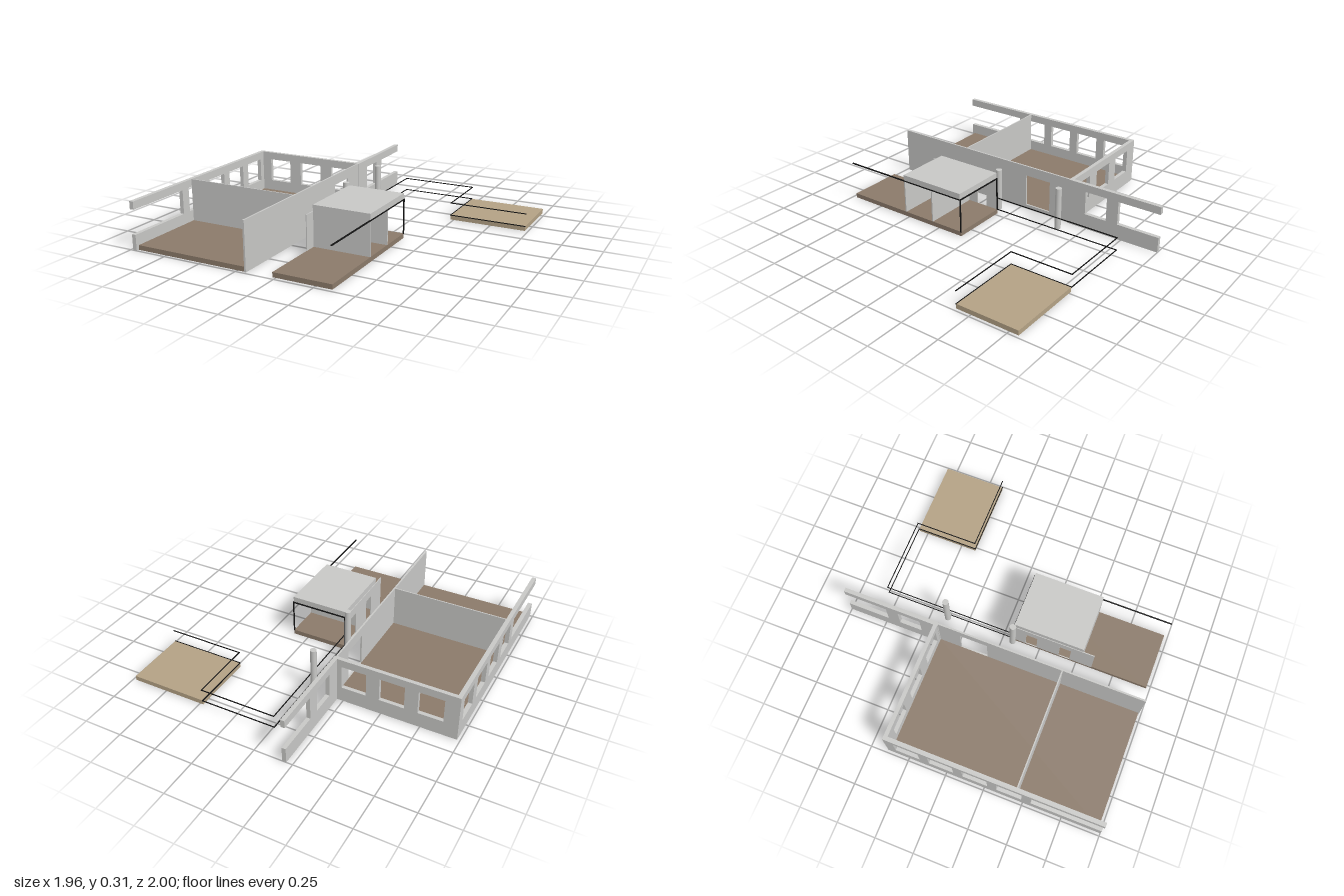
import * as THREE from 'three';

export function createModel() {
  const root = new THREE.Group();
  root.name = 'floorPlanModel';
  const mat = (name, color) => {
    const m = new THREE.MeshStandardMaterial({ color });
    m.name = name;
    return m;
  };
  const wallGrey = mat('wallGrey', 0xc8c8c6);
  const floorBrown = mat('floorBrown', 0x8b7a6a);
  const terraceTan = mat('terraceTan', 0xb4a285);
  const railBlack = mat('railBlack', 0x141414);

  const add = (name, geo, material) => {
    const mesh = new THREE.Mesh(geo, material);
    mesh.name = name;
    root.add(mesh);
    return mesh;
  };

  // Box given by its minimum and maximum corners
  const box = (name, x0, x1, y0, y1, z0, z1, material) => {
    const g = new THREE.BoxGeometry(x1 - x0, y1 - y0, z1 - z0);
    g.translate((x0 + x1) / 2, (y0 + y1) / 2, (z0 + z1) / 2);
    return add(name, g, material);
  };

  // Wall panel: outline [u, y], rectangular holes [u0, u1, y0, y1], thickness t
  const panel = (outline, holes, t) => {
    const shape = new THREE.Shape(outline.map(p => new THREE.Vector2(...p)));
    for (const [a, b, c, d] of holes) {
      shape.holes.push(new THREE.Path([[a, c], [a, d], [b, d], [b, c]].map(p => new THREE.Vector2(...p))));
    }
    return new THREE.ExtrudeGeometry(shape, { depth: t, bevelEnabled: false });
  };
  const rect = (a, b, c, d) => [[a, c], [b, c], [b, d], [a, d]];
  const wallAlongX = (name, outline, holes, z0, z1) =>
    add(name, panel(outline, holes, z1 - z0).translate(0, 0, z0), wallGrey);
  const wallAlongZ = (name, outline, holes, x0, x1) =>
    add(name, panel(outline, holes, x1 - x0).rotateY(-Math.PI / 2).translate(x1, 0, 0), wallGrey);

  const H = 0.305, F = 0.03, SILL = 0.1, HEAD = 0.255;

  // Floors and terrace
  box('mainFloor', -0.955, -0.2, 0, F, -0.367, 0.98, floorBrown);
  box('annexFloor', -0.022, 0.352, 0, F, 0.07, 0.975, floorBrown);
  box('terrace', 0.478, 0.98, 0, F, -0.81, -0.4, terraceTan);

  // Outer side wall: four windows, then an open bay between sill and lintel
  const sideWindows = [];
  for (let i = 0; i < 4; i++) {
    const z = -0.33 + i * 0.22;
    sideWindows.push([z, z + 0.16, SILL, HEAD]);
  }
  wallAlongZ('outerSideWall',
    [[-0.392, 0], [1, 0], [1, SILL], [0.55, SILL], [0.55, HEAD], [1, HEAD], [1, H], [-0.392, H]],
    sideWindows, -0.982, -0.955);

  // Back wall with three windows
  wallAlongX('backWall', rect(-0.955, -0.21, 0, H),
    [-0.81, -0.565, -0.32].map(x => [x - 0.08, x + 0.08, SILL, HEAD]), -0.392, -0.367);

  // Extension of the inner wall behind the building, open at its far end
  wallAlongZ('extensionWall',
    [[-0.365, 0], [-0.365, H], [-1, H], [-1, HEAD], [-0.72, HEAD], [-0.72, SILL], [-1, SILL], [-1, 0]],
    [[-0.64, -0.49, SILL, HEAD]], -0.21, -0.184);

  // Inner long wall with doorway, and the room partition
  wallAlongZ('innerSideWall', rect(-0.365, 0.985, 0, H), [[-0.222, -0.04, F, 0.24]], -0.2, -0.189);
  box('roomPartition', -0.955, -0.2, F, H, 0.449, 0.457, wallGrey);

  // Annex: roof, two cross walls, side wall with two doorways
  box('annexRoof', -0.022, 0.352, 0.25, 0.29, 0.075, 0.53, wallGrey);
  box('annexFrontWall', -0.022, 0.352, F, 0.25, 0.522, 0.53, wallGrey);
  box('annexCrossWall', -0.022, 0.352, F, 0.25, 0.298, 0.306, wallGrey);
  wallAlongZ('annexSideWall', rect(0.075, 0.605, F, 0.25),
    [[0.155, 0.23, 0.031, 0.19], [0.38, 0.455, 0.031, 0.19]], -0.026, -0.02);

  // Round columns
  for (const z of [0.072, -0.38]) {
    add('column', new THREE.CylinderGeometry(0.02, 0.02, H - F, 24), wallGrey)
      .position.set(-0.045, (H + F) / 2, z);
  }

  // Thin square rails following a path of axis-aligned points
  const rail = (name, points, t) => {
    for (let i = 1; i < points.length; i++) {
      const a = points[i - 1], b = points[i];
      const lo = a.map((v, k) => Math.min(v, b[k]) - t / 2);
      const hi = a.map((v, k) => Math.max(v, b[k]) + t / 2);
      box(name, lo[0], hi[0], lo[1], hi[1], lo[2], hi[2], railBlack);
    }
  };

  // Annex frame and its long overhead bar
  rail('annexFrame', [[0.352, F, 0.072], [0.352, 0.25, 0.072], [-0.022, 0.25, 0.072], [-0.022, F, 0.072]], 0.007);
  rail('overheadBar', [[0.352, 0.25, 0.072], [0.352, 0.25, 0.98]], 0.007);

  // Boundary rails stepping round to the terrace
  for (const y of [F, 0.113]) {
    rail('boundaryRail',
      [[-0.022, y, 0.072], [-0.022, y, -0.812], [0.478, y, -0.812], [0.478, y, -0.4], [0.98, y, -0.4]], 0.005);
  }
  return root;
}
